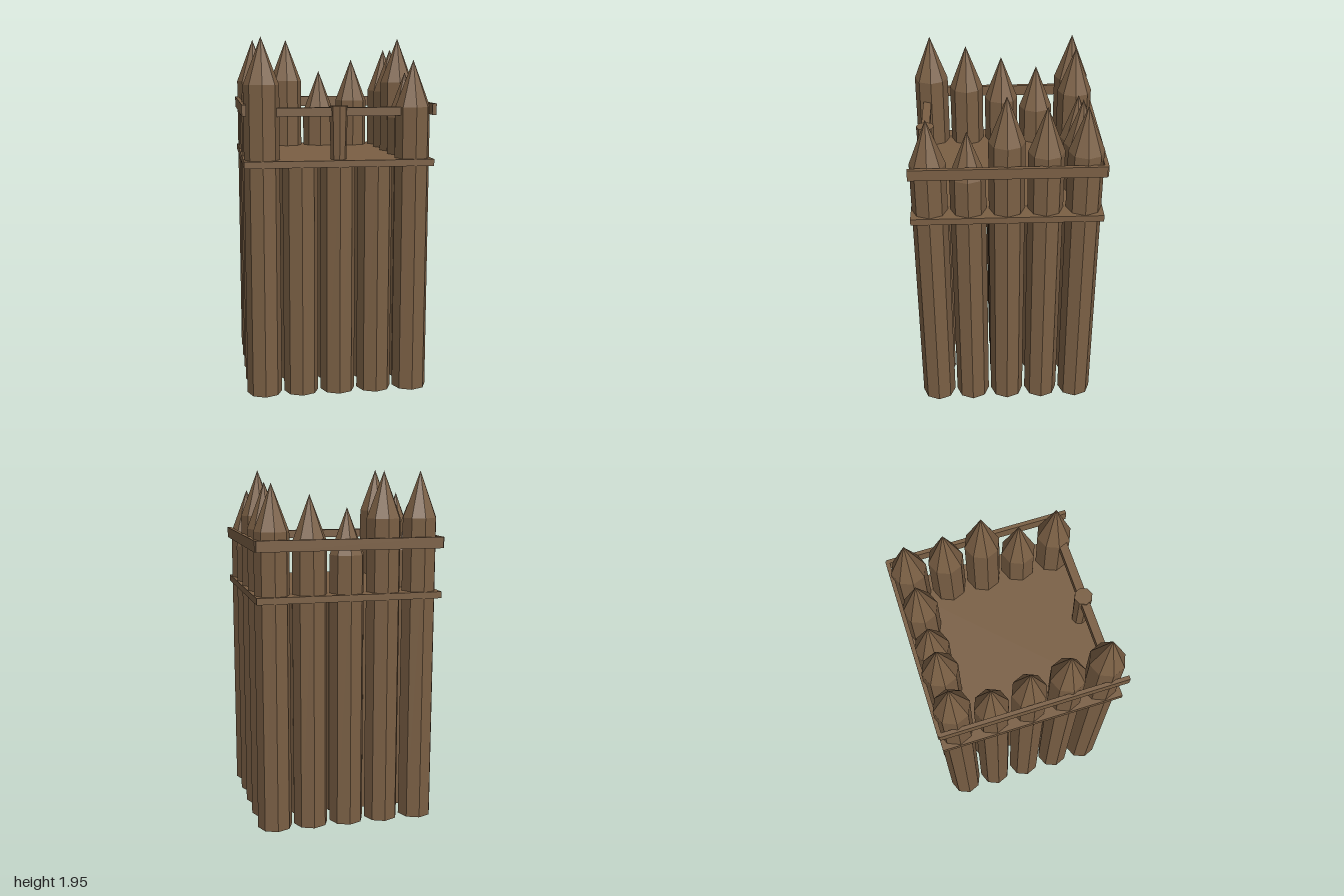
import * as THREE from 'three';

export function createModel() {
  const model = new THREE.Group();
  model.name = 'palisadeTower';
  const wood = new THREE.MeshStandardMaterial({ color: 0x7a5f44, flatShading: true });
  wood.name = 'brown wood';

  const add = (name, geometry, x, y, z, parent = model) => {
    const mesh = new THREE.Mesh(geometry, wood);
    mesh.name = name;
    mesh.position.set(x, y, z);
    parent.add(mesh);
    return mesh;
  };

  const SPACING = 0.205, RADIUS = 0.096, TIP = 0.25, FLOOR = 1.285;

  // Apex heights by row (back to front) and column (-x to +x); 0 = ends at the floor
  const apex = [
    [1.95, 1.95, 1.76, 1.83, 1.89],
    [1.76, 0, 0, 0, 1.89],
    [1.82, 0, 0, 0, 1.95],
    [1.89, 0, 0, 0, 1.76],
    [1.95, 0, 0, 0, 1.83],
  ];

  // Eight-sided logs, sharpened around three sides
  const tip = new THREE.ConeGeometry(RADIUS, TIP, 8, 1, true);
  apex.forEach((row, j) => row.forEach((top, i) => {
    const log = new THREE.Group();
    log.name = top ? 'sharpenedLog' : 'floorLog';
    log.position.set((i - 2) * SPACING, 0, (j - 2) * SPACING);
    const h = top ? top - TIP : FLOOR;
    add('logShaft', new THREE.CylinderGeometry(RADIUS, RADIUS, h, 8), 0, h / 2, 0, log);
    if (top) add('logTip', tip, 0, h + TIP / 2, 0, log);
    model.add(log);
  }));

  // Floor slab
  add('floor', new THREE.BoxGeometry(1.02, 0.036, 1.02), 0, FLOOR, 0);

  // Upper bands on the sides and the back
  for (const s of [-1, 1]) {
    add('sideBand', new THREE.BoxGeometry(0.022, 0.06, 1.02), s * 0.506, 1.57, 0);
  }
  add('backBand', new THREE.BoxGeometry(1.02, 0.06, 0.022), 0, 1.57, -0.506);

  // Front rail and its tapered post
  add('frontRail', new THREE.BoxGeometry(0.82, 0.046, 0.046), 0, 1.557, 0.436);
  add('frontRailPost', new THREE.CylinderGeometry(0.05, 0.042, 0.3, 8), 0, 1.438, 0.437);

  return model;
}
